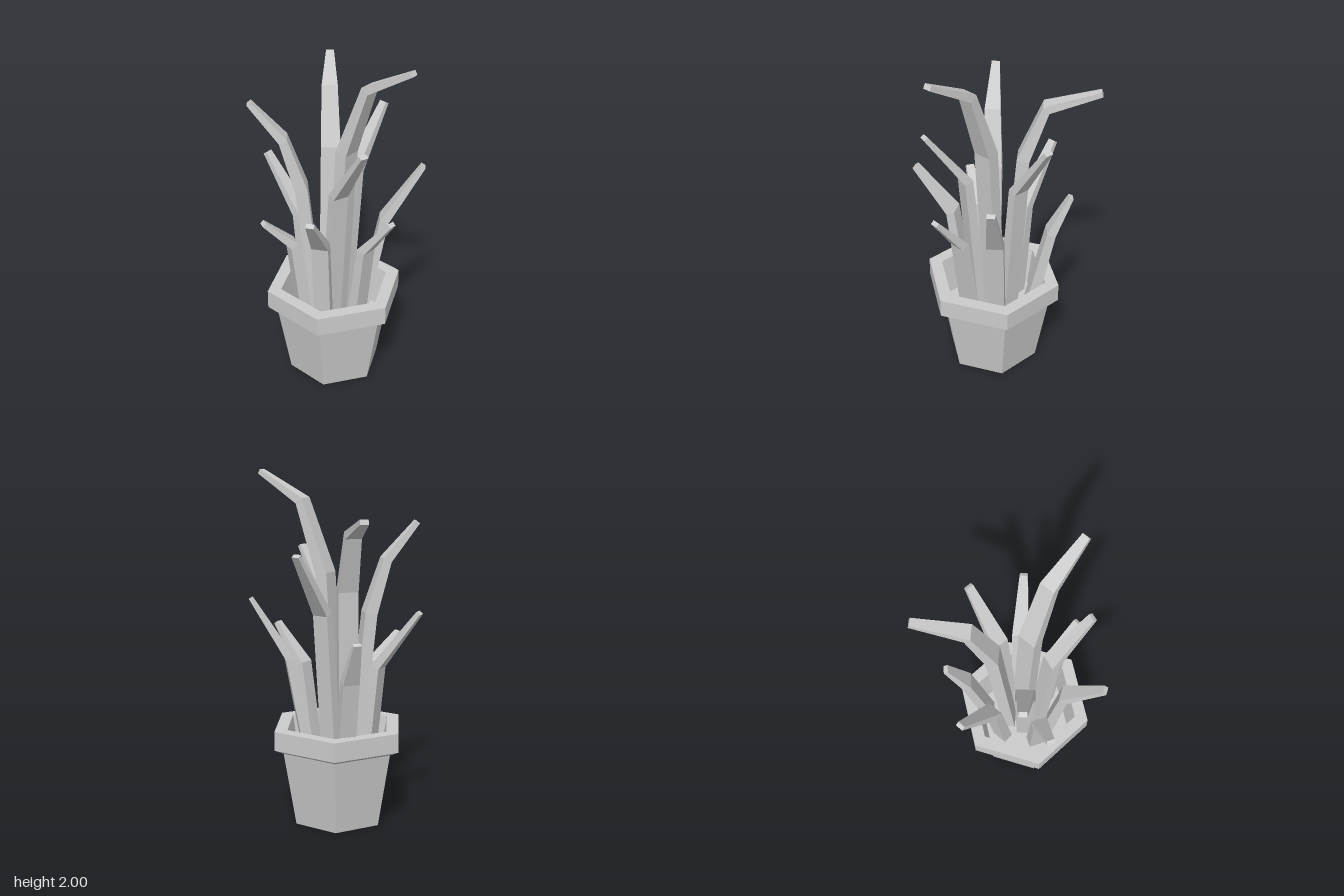
import * as THREE from 'three';

const material = new THREE.MeshStandardMaterial({ color: 0xcccccc, flatShading: true });
const UP = new THREE.Vector3(0, 1, 0);

// Tapered rectangular strip swept through the given centre points, with mitred bends
function leafGeometry(points, widths, thicknesses) {
  const p = points.map((a) => new THREE.Vector3(...a));
  const last = p.length - 1;
  const outward = p[last].clone().sub(p[0]).setY(0).normalize();
  const side = UP.clone().cross(outward);
  const positions = [];
  const index = [];
  p.forEach((c, i) => {
    const tangent = new THREE.Vector3();
    if (i > 0) tangent.add(c.clone().sub(p[i - 1]).normalize());
    if (i < last) tangent.add(p[i + 1].clone().sub(c).normalize());
    const normal = side.clone().cross(tangent.normalize()).normalize();
    for (const [n, s] of [[1, 1], [-1, 1], [-1, -1], [1, -1]]) {
      const v = c.clone()
        .addScaledVector(normal, (n * thicknesses[i]) / 2)
        .addScaledVector(side, (s * widths[i]) / 2);
      positions.push(v.x, v.y, v.z);
    }
    if (i === 0) return;
    for (let k = 0; k < 4; k++) {
      const a = (i - 1) * 4 + k;
      const b = (i - 1) * 4 + ((k + 1) % 4);
      index.push(a, b, b + 4, a, b + 4, a + 4);
    }
  });
  const e = last * 4;
  index.push(e, e + 1, e + 2, e, e + 2, e + 3, 0, 2, 1, 0, 3, 2);
  const geometry = new THREE.BufferGeometry();
  geometry.setAttribute('position', new THREE.Float32BufferAttribute(positions, 3));
  geometry.setIndex(index);
  const flat = geometry.toNonIndexed();
  flat.computeVertexNormals();
  return flat;
}

// Centre points of each leaf from the soil to the tip
const SOIL = 0.33;
const tallLeaves = [
  [[0.022, SOIL, 0.01], [0.027, 1.43, 0.08], [0.045, 1.83, 0.22], [0.068, 1.985, 0.49]],
  [[0.04, SOIL, -0.075], [0.11, 1.36, -0.12], [0.19, 1.67, -0.205], [0.4, 1.765, -0.405]],
  [[-0.07, SOIL, -0.045], [-0.135, 1.2, -0.11], [-0.205, 1.5, -0.175], [-0.325, 1.71, -0.305]],
];
const shortLeaves = [
  [[-0.003, SOIL, -0.175], [-0.01, 0.93, -0.245], [-0.035, 1.25, -0.49]],
  [[0.105, SOIL, -0.015], [0.19, 1.23, -0.01], [0.42, 1.57, 0]],
  [[0.14, SOIL, 0.1], [0.225, 0.97, 0.19], [0.365, 1.31, 0.345]],
  [[0, SOIL, 0.18], [0, 0.89, 0.255], [0.008, 1.115, 0.43]],
  [[-0.072, SOIL, 0.05], [-0.09, 1.22, 0.13], [-0.147, 1.555, 0.36]],
  [[-0.15, SOIL, 0.075], [-0.22, 0.95, 0.12], [-0.41, 1.205, 0.23]],
  [[-0.17, SOIL, -0.055], [-0.235, 0.89, -0.088], [-0.39, 1.055, -0.155]],
  [[0.165, SOIL, -0.13], [0.24, 0.88, -0.22], [0.305, 1.11, -0.305]],
];

export function createModel() {
  const model = new THREE.Group();
  model.name = 'pottedPlant';

  // Six-sided pot with a thick rim, sloping inner wall and soil floor
  const profile = [
    [0, 0], [0.27, 0], [0.345, 0.43], [0.4, 0.455],
    [0.4, 0.565], [0.32, 0.565], [0.28, 0.34], [0, 0.34],
  ].map(([r, y]) => new THREE.Vector2(r, y));
  const pot = new THREE.Mesh(new THREE.LatheGeometry(profile, 6), material);
  pot.name = 'pot';
  pot.position.set(0.003, 0, 0.01);
  model.add(pot);

  // Bent leaves fanning outward
  const leaves = new THREE.Group();
  leaves.name = 'leaves';
  const addLeaves = (list, name, widths, thicknesses) => list.forEach((points, i) => {
    const leaf = new THREE.Mesh(leafGeometry(points, widths, thicknesses), material);
    leaf.name = name + (i + 1);
    leaves.add(leaf);
  });
  addLeaves(tallLeaves, 'tallLeaf', [0.105, 0.11, 0.09, 0.045], [0.07, 0.07, 0.05, 0.028]);
  addLeaves(shortLeaves, 'shortLeaf', [0.095, 0.095, 0.045], [0.065, 0.052, 0.026]);
  model.add(leaves);

  return model;
}
